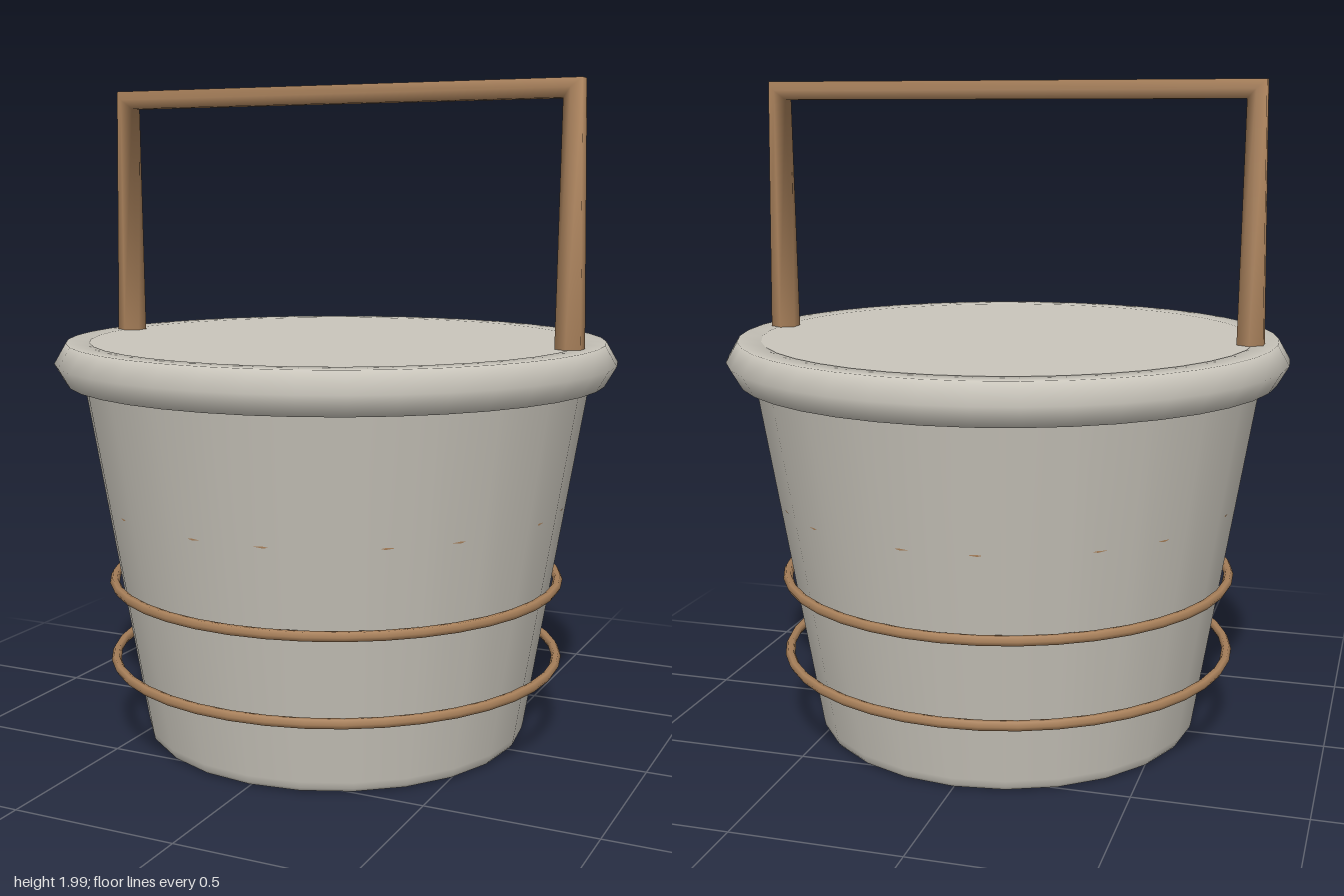
import * as THREE from 'three';

const grey = new THREE.MeshStandardMaterial({ color: 0xc9c5bb });
grey.name = 'paleGrey';
const wood = new THREE.MeshStandardMaterial({ color: 0xa8805a });
wood.name = 'brownWood';

// Handle path: rings sit exactly on the ends and the mitred corners
class HandleCurve extends THREE.Curve {
  constructor(points) {
    super();
    this.points = points;
  }
  index(u) {
    return Math.round(u * (this.points.length - 1));
  }
  getPoint(u, target = new THREE.Vector3()) {
    return target.copy(this.points[this.index(u)]);
  }
  getPointAt(u, target) {
    return this.getPoint(u, target);
  }
  getTangentAt(u, target = new THREE.Vector3()) {
    const p = this.points, i = this.index(u);
    target.set(0, 0, 0);
    if (i > 0) target.add(p[i].clone().sub(p[i - 1]).normalize());
    if (i < p.length - 1) target.add(p[i + 1].clone().sub(p[i]).normalize());
    return target.normalize();
  }
}

export function createModel() {
  const group = new THREE.Group();
  group.name = 'bucket';

  const add = (name, geometry, material, y = 0) => {
    const mesh = new THREE.Mesh(geometry, material);
    mesh.name = name;
    mesh.position.y = y;
    group.add(mesh);
    return mesh;
  };
  const addHoop = (name, radius, tube, y, material) => {
    add(name, new THREE.TorusGeometry(radius, tube, 6, 40).rotateX(Math.PI / 2), material, y);
  };

  // Tapered body with a softened bottom edge
  const profile = [[0.565, 0.005], [0.58, 0.01], [0.589, 0.021], [0.593, 0.04], [0.783, 1.18]];
  add('body', new THREE.LatheGeometry(profile.map(([r, y]) => new THREE.Vector2(r, y)), 24), grey);
  add('base', new THREE.CircleGeometry(0.565, 24).rotateX(Math.PI / 2), grey, 0.005);

  // Rolled rim and the flat lid inside it
  addHoop('rim', 0.785, 0.07, 1.173, grey);
  add('lid', new THREE.CylinderGeometry(0.75, 0.75, 0.1, 40), grey, 1.183);

  // Wooden hoops; the top one just breaks through the wall
  [0.25, 0.495, 0.738].forEach((y, i) => addHoop('hoop' + (i + 1), 0.69, 0.015, y, wood));

  // Square-cornered carrying handle
  const path = [[-0.74, 1.225], [-0.738, 1.968], [0.738, 1.968], [0.74, 1.225]]
    .map(([x, y]) => new THREE.Vector3(x, y, 0));
  add('handle', new THREE.TubeGeometry(new HandleCurve(path), 3, 0.045, 6, false), wood);

  return group;
}
